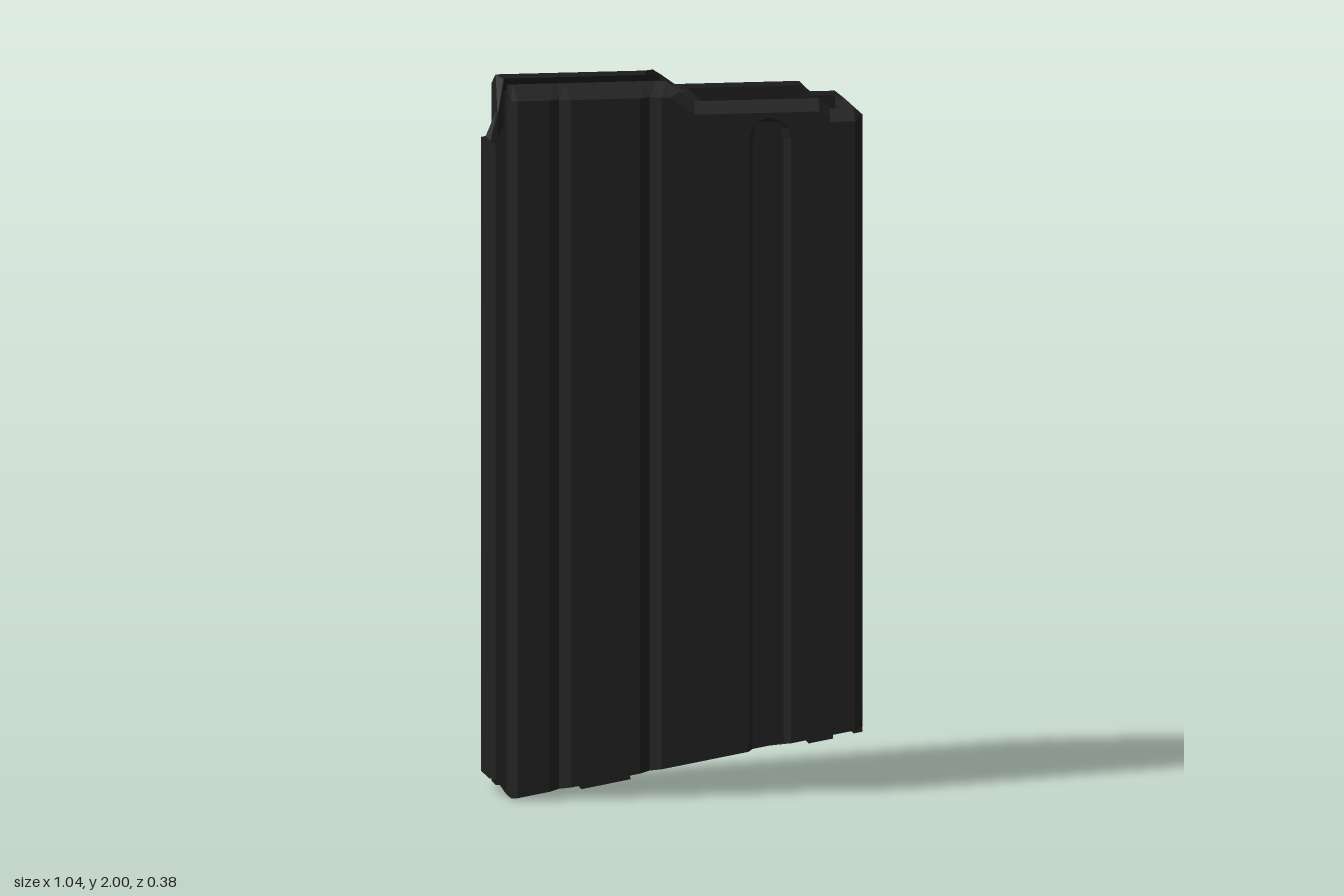
import * as THREE from 'three';

const Z0 = 0.005; // mid-plane of the case
const bottomY = (x) => (x < -0.5 ? 0.05 : 0.09 + 0.175 * x);

// Closed skin through stacked rings, with fan caps at both ends
function loft(rings) {
  const pos = [];
  const tri = (...pts) => pts.forEach((p) => pos.push(...p));
  const n = rings[0].length;
  const centre = (r) => [0, 1, 2].map((k) => r.reduce((s, p) => s + p[k], 0) / n);
  const first = rings[0], last = rings[rings.length - 1];
  const c0 = centre(first), c1 = centre(last);
  for (let i = 0; i < n; i++) {
    const j = (i + 1) % n;
    for (let k = 0; k + 1 < rings.length; k++) {
      const a = rings[k][i], b = rings[k][j], c = rings[k + 1][i], d = rings[k + 1][j];
      tri(a, c, b);
      tri(b, c, d);
    }
    tri(c0, first[i], first[j]);
    tri(c1, last[j], last[i]);
  }
  const g = new THREE.BufferGeometry();
  g.setAttribute('position', new THREE.Float32BufferAttribute(pos, 3));
  g.computeVertexNormals();
  return g;
}

// Plan outline of the case; the pressed rib narrows to an arch near y = 1.9
function section(y) {
  const t = Math.min(1, Math.max(0, (y - 1.84) / 0.06));
  const w = Math.max(0.003, 0.06 * Math.sqrt(1 - t * t));
  const d = t < 1 ? Math.min(0.032, w * 0.8) : 0;
  const half = [
    [0.515, 0], [0.515, 0.155], [0.49, 0.18], [0.42, 0.18], [0.39, 0.18],
    [0.25 + w, 0.18], [0.25 + 0.72 * w, 0.18 - d], [0.25 - 0.72 * w, 0.18 - d], [0.25 - w, 0.18],
    [0.04, 0.18], [0, 0.18], [-0.03, 0.18], [-0.055, 0.18], [-0.085, 0.163], [-0.115, 0.18],
    [-0.31, 0.18], [-0.34, 0.163], [-0.37, 0.18], [-0.46, 0.18], [-0.475, 0.165], [-0.475, 0.1],
    [-0.475, 0.0825], [-0.505, 0.0825], [-0.52, 0.068], [-0.52, 0],
  ];
  return half.concat(half.slice(1, -1).reverse().map(([x, z]) => [x, -z]));
}

// Height of the rim along the case
function rimY(x, z) {
  if (x < -0.48) return 1.83;
  if (x < -0.47 && Math.abs(z) < 0.1) return 1.9;
  const p = [[-0.6, 2], [-0.03, 2], [0.04, 1.95], [0.39, 1.95], [0.42, 1.92], [0.49, 1.92], [0.515, 1.9]];
  const i = Math.max(1, p.findIndex((q) => q[0] >= x));
  return THREE.MathUtils.mapLinear(x, p[i - 1][0], p[i][0], p[i - 1][1], p[i][1]);
}

// How far the feed lips reach in, measured from the mid-plane
const lipZ = (x) => THREE.MathUtils.clamp(THREE.MathUtils.mapLinear(x, -0.04, 0, 0.095, 0.16), 0.095, 0.16);

function caseGeometry() {
  const ring = (y, f) => section(y).map(([x, z]) => {
    const [px, py, pz] = f(x, Math.abs(z), rimY(x, z));
    return [px, py, Z0 + Math.sign(z) * pz];
  });
  const inner = (x, z) => [
    x < -0.48 ? -0.495 : z > 0.09 ? Math.max(-0.455, Math.min(0.49, x)) : Math.min(0.49, x),
    Math.max(0, z - 0.02),
  ];
  const innerRing = (y, drop) => ring(y, (x, z, t) => {
    const [ix, iz] = inner(x, z);
    return [ix, Math.min(y, t - drop), iz];
  });
  return loft([
    ring(0, (x, z) => [x, bottomY(x), z]),
    ...[1.84, 1.87, 1.885, 1.895, 1.9].map((y) => ring(y, (x, z, t) => [x, Math.min(y, t - 0.035), z])),
    ring(2, (x, z, t) => [x, t - 0.035, z]),
    ring(2, (x, z, t) => [x, t, Math.min(z, lipZ(x))]),
    ring(2, (x, z, t) => [inner(x, z)[0], t - 0.012, Math.min(inner(x, z)[1], lipZ(x) - 0.003)]),
    innerRing(2, 0.055),
    innerRing(1.84, 0.06),
    innerRing(1.76, 0.065),
  ]);
}

// Rectangular ring with cut corners
function cutRect(x0, x1, z0, z1, y, c) {
  return [
    [x1, z0 + c], [x1, z1 - c], [x1 - c, z1], [x0 + c, z1],
    [x0, z1 - c], [x0, z0 + c], [x0 + c, z0], [x1 - c, z0],
  ].map(([x, z]) => [x, y, z]);
}

export function createModel() {
  const group = new THREE.Group();
  const black = new THREE.MeshStandardMaterial({ color: 0x222222 });
  black.name = 'matte black';
  const add = (name, geometry) => {
    const m = new THREE.Mesh(geometry, black);
    m.name = name;
    group.add(m);
    return m;
  };

  add('case', caseGeometry());

  // Follower plate and its raised ridge
  add('follower', loft([
    cutRect(-0.44, 0.46, -0.13, 0.14, 1.77, 0.02),
    cutRect(-0.44, 0.46, -0.13, 0.14, 1.885, 0.02),
  ]));
  add('followerRidge', loft([
    cutRect(-0.375, 0.125, -0.02, 0.12, 1.88, 0.025),
    cutRect(-0.345, 0.085, -0.005, 0.11, 1.93, 0.025),
    cutRect(-0.315, 0.045, 0.015, 0.095, 1.965, 0.02),
    cutRect(-0.29, 0.02, 0.035, 0.075, 1.978, 0.01),
  ]));

  // Catch on the back: wedge-shaped block over a rounded tab
  const wedge = new THREE.Shape([[0, 1.46], [0.016, 1.46], [0.016, 1.36], [0, 1.3]].map((p) => new THREE.Vector2(...p)));
  const catchGeo = new THREE.ExtrudeGeometry(wedge, { depth: 0.14, bevelEnabled: false });
  const block = add('catchBlock', catchGeo);
  block.rotation.y = Math.PI / 2;
  block.position.set(-0.28, 0, -0.174);

  const tab = new THREE.Shape();
  tab.moveTo(-0.055, 1.33);
  tab.lineTo(-0.055, 1.23);
  tab.absarc(0, 1.23, 0.055, Math.PI, Math.PI * 2, false);
  tab.lineTo(0.055, 1.33);
  const tabMesh = add('catchTab', new THREE.ExtrudeGeometry(tab, { depth: 0.005, bevelEnabled: false, curveSegments: 8 }));
  tabMesh.position.set(-0.21, 0, -0.179);

  // Tabs of the sloping floor plate
  const slope = Math.atan(0.175);
  for (const [x, w, d] of [[-0.21, 0.14, 0.33], [0.395, 0.07, 0.33], [0.502, 0.026, 0.3]]) {
    const m = add('floorTab', new THREE.BoxGeometry(w, 0.02, d));
    m.position.set(x, bottomY(x) - 0.003, Z0);
    m.rotation.z = slope;
  }
  add('floorFrontLip', new THREE.BoxGeometry(0.008, 0.03, 0.2)).position.set(0.515, 0.185, Z0);

  // Locking stud under the floor
  const stud = add('floorStud', new THREE.CylinderGeometry(0.03, 0.03, 0.02, 16));
  stud.position.set(-0.4, bottomY(-0.4) - 0.003, Z0);
  stud.rotation.z = slope;
  return group;
}
